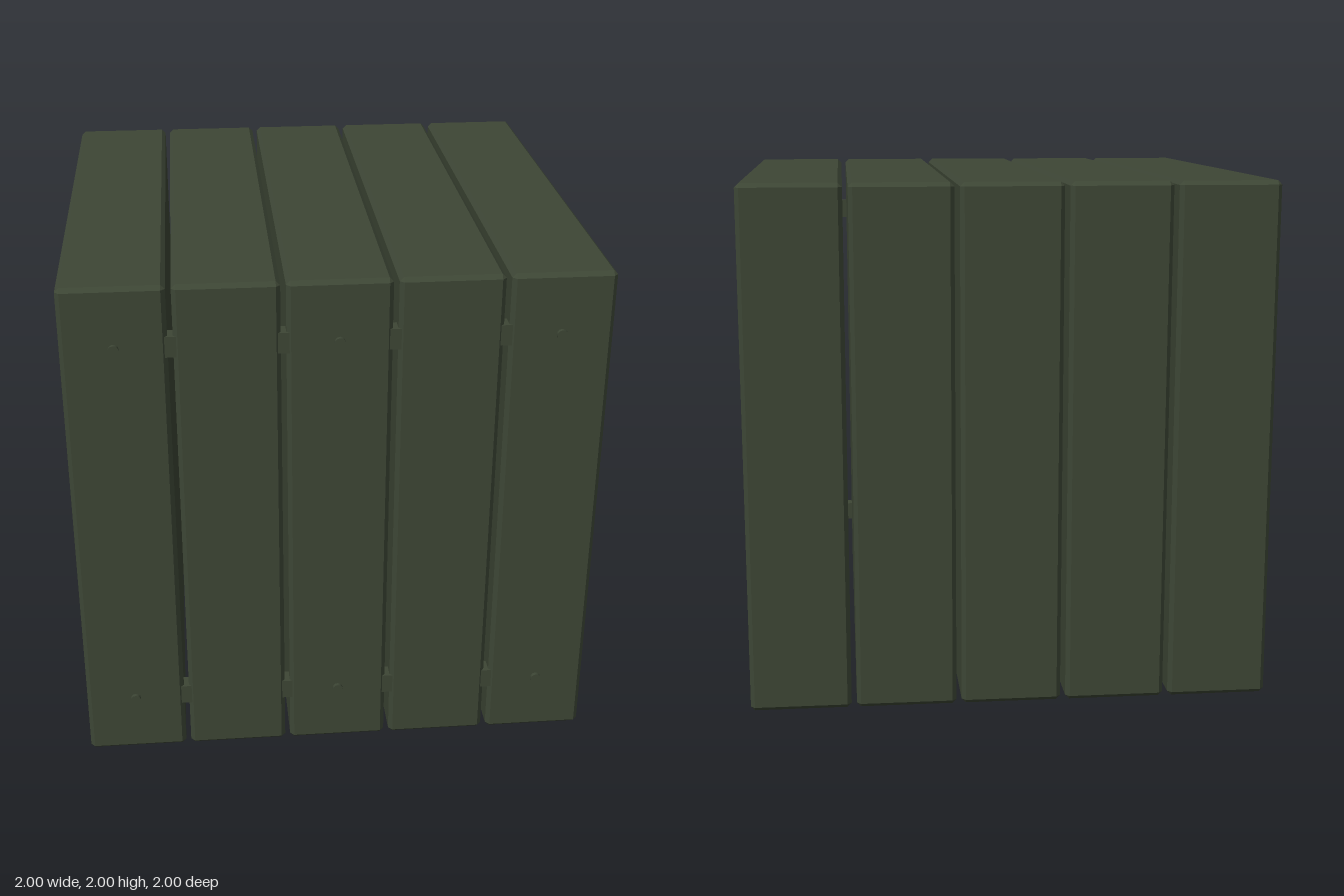
import * as THREE from 'three';
import { ConvexGeometry } from 'three/addons/geometries/ConvexGeometry.js';

// Box with every edge cut by one flat chamfer
function chamferedBox(w, h, d, c) {
  const points = [];
  for (const sx of [-1, 1]) for (const sy of [-1, 1]) for (const sz of [-1, 1]) {
    const x = sx * w / 2, y = sy * h / 2, z = sz * d / 2;
    points.push(
      new THREE.Vector3(x, y - sy * c, z - sz * c),
      new THREE.Vector3(x - sx * c, y, z - sz * c),
      new THREE.Vector3(x - sx * c, y - sy * c, z)
    );
  }
  return new ConvexGeometry(points);
}

export function createModel() {
  const group = new THREE.Group();
  const olive = new THREE.MeshStandardMaterial({ color: 0x3d4635 });
  olive.name = 'olive green';

  const add = (name, geometry, x, y, z) => {
    const mesh = new THREE.Mesh(geometry, olive);
    mesh.name = name;
    mesh.position.set(x, y, z);
    group.add(mesh);
  };

  const pitch = 0.404, width = 0.384, front = 0.986;
  const rows = [0.245, 1.765];

  // Five upright slabs side by side
  const slab = chamferedBox(width, 2, front + 1, 0.016);
  for (let i = -2; i <= 2; i++) add('slab', slab, i * pitch, 1, (front - 1) / 2);

  // Small links bridging each gap near the front
  const link = new THREE.BoxGeometry(0.05, 0.08, 0.062);
  for (const y of rows)
    for (let i = -1.5; i <= 1.5; i++) add('link', link, i * pitch, y, 0.95);

  // Rivets on the outer and middle slabs
  const rivet = new THREE.CylinderGeometry(0.02, 0.02, 0.028, 12).rotateX(Math.PI / 2);
  for (const y of rows)
    for (const i of [-2, 0, 2]) add('rivet', rivet, i * pitch, y, front);

  return group;
}
